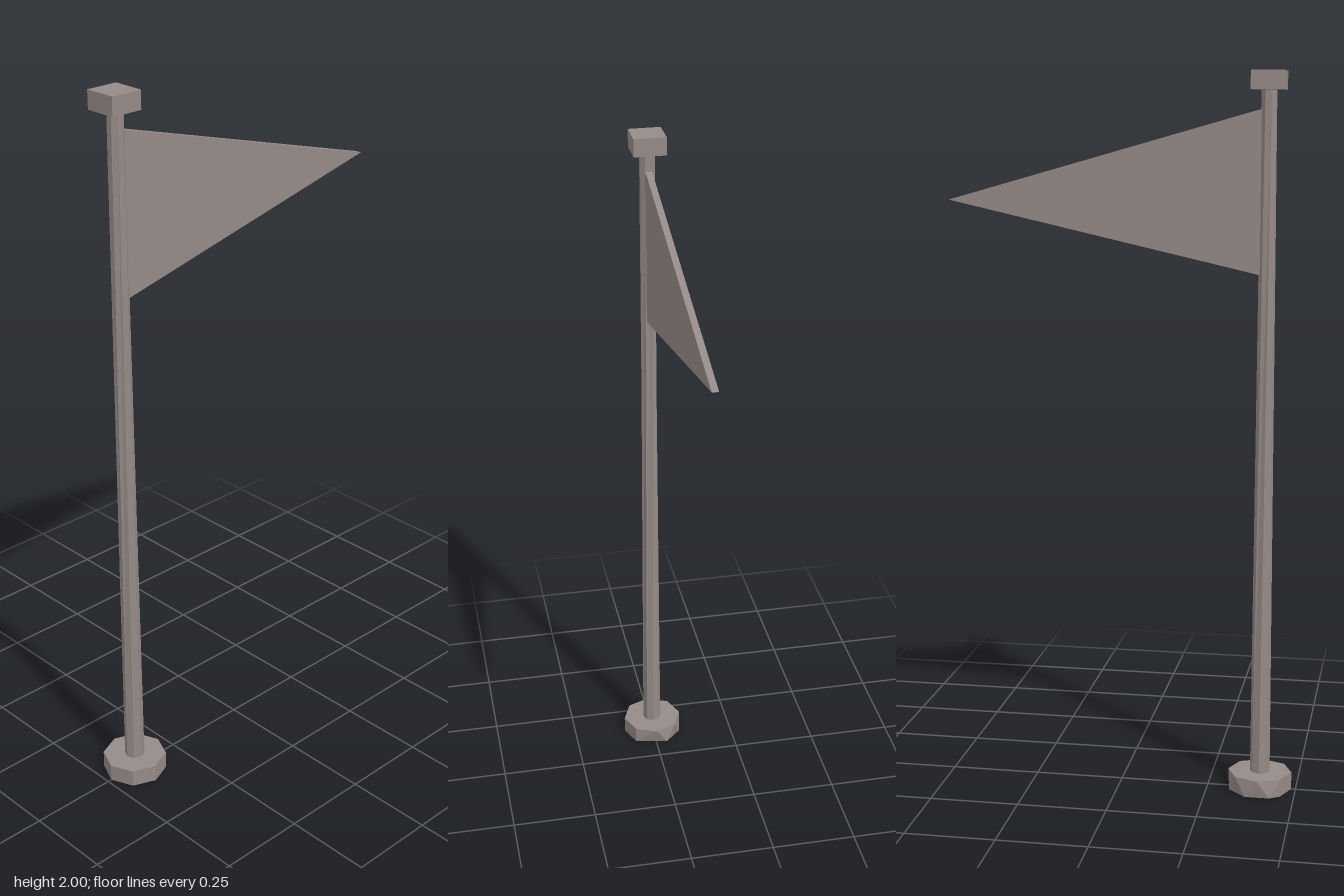
import * as THREE from 'three';

const POLE_X = -0.398;
const STEP = Math.PI / 8; // half of one octagon side

// Turn selected vertices of a geometry about the y axis
function turnVertices(geometry, select, angle) {
  const p = geometry.attributes.position;
  const v = new THREE.Vector3();
  const axis = new THREE.Vector3(0, 1, 0);
  for (let i = 0; i < p.count; i++) {
    v.fromBufferAttribute(p, i);
    if (!select(v)) continue;
    v.applyAxisAngle(axis, angle);
    p.setXYZ(i, v.x, v.y, v.z);
  }
  geometry.computeVertexNormals();
  return geometry;
}

export function createModel() {
  const model = new THREE.Group();
  const stone = new THREE.MeshStandardMaterial({
    color: 0x958a87, flatShading: true, side: THREE.DoubleSide,
  });
  stone.name = 'warmGrey';

  const add = (name, geometry, x, y, z) => {
    const mesh = new THREE.Mesh(geometry, stone);
    mesh.name = name;
    mesh.position.set(x, y, z);
    model.add(mesh);
  };

  // Octagonal base rim, open below, with its rear bottom corners twisted
  const rim = new THREE.CylinderGeometry(0.09, 0.09, 0.05, 8, 1, true);
  turnVertices(rim, (v) => v.y < 0 && v.z < 0.01 && v.x > -0.01, STEP);
  add('baseRim', rim, POLE_X, 0.025, 0);

  // Top of the base around the pole
  add('baseTop', new THREE.RingGeometry(0.028, 0.09, 8, 1).rotateX(-Math.PI / 2), POLE_X, 0.05, 0);

  // Tapered, slightly twisted pole
  const pole = new THREE.CylinderGeometry(0.022, 0.028, 1.91, 8, 1, true);
  turnVertices(pole, (v) => v.y > 0, STEP);
  add('pole', pole, POLE_X, 1.005, 0);

  // Square cap
  add('cap', new THREE.BoxGeometry(0.091, 0.05, 0.091), POLE_X, 1.975, -0.001);

  // Triangular pennant
  const outline = new THREE.Shape([
    new THREE.Vector2(-0.382, 1.9),
    new THREE.Vector2(-0.382, 1.457),
    new THREE.Vector2(0.487, 1.655),
  ]);
  add('pennant', new THREE.ExtrudeGeometry(outline, { depth: 0.018, bevelEnabled: false }), 0, 0, -0.01);

  return model;
}
